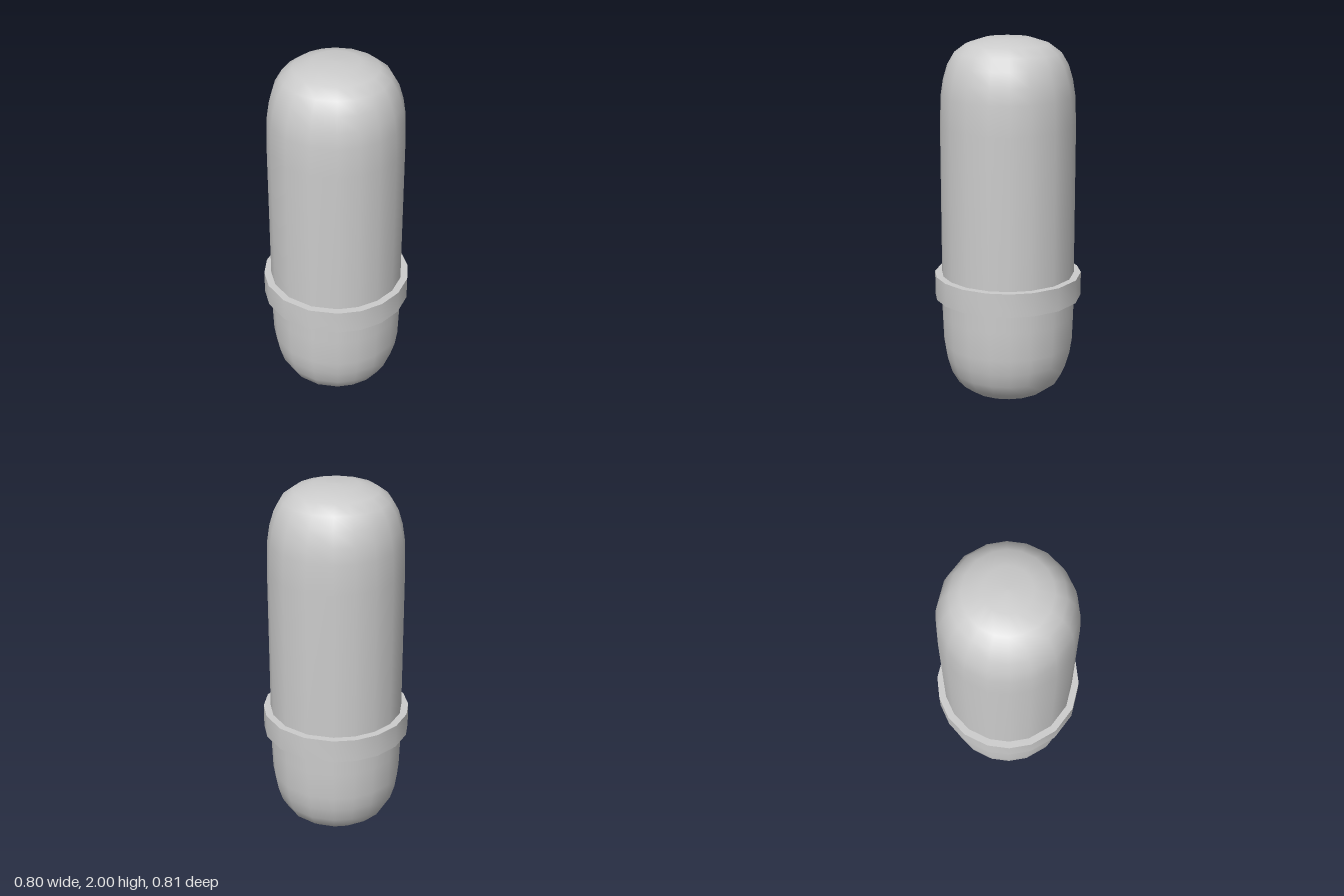
import * as THREE from 'three';
import { toCreasedNormals } from 'three/addons/utils/BufferGeometryUtils.js';

// Slightly uneven facet directions (degrees) over half a turn, repeated for the other half
const HALF_TURN = [-83, -60.3, -36.9, -14.2, 3.6, 21.8, 41.5, 61.8, 79.2];
const SIDES = HALF_TURN.length * 2;

// Lathe whose columns are turned to the uneven facet directions
function facetedLathe(points) {
  const geometry = new THREE.LatheGeometry(points.map(([r, y]) => new THREE.Vector2(r, y)), SIDES);
  const v = new THREE.Vector3();
  const up = new THREE.Vector3(0, 1, 0);
  for (let i = 0; i <= SIDES; i++) {
    const degrees = HALF_TURN[i % 9] + 180 * Math.floor(i / 9);
    const turn = THREE.MathUtils.degToRad(degrees) - (i / SIDES) * Math.PI * 2;
    for (let j = 0; j < points.length; j++) {
      const k = i * points.length + j;
      for (const attribute of [geometry.attributes.position, geometry.attributes.normal]) {
        v.fromBufferAttribute(attribute, k).applyAxisAngle(up, turn);
        attribute.setXYZ(k, v.x, v.y, v.z);
      }
    }
  }
  return geometry;
}

export function createModel() {
  const group = new THREE.Group();
  group.name = 'capsule';
  const material = new THREE.MeshStandardMaterial({ color: 0xcccccc });

  // Capsule body: rounded end profile, mirrored about the middle
  const lowerEnd = [
    [0, 0], [0.125, 0.003], [0.225, 0.035], [0.285, 0.08], [0.323, 0.145],
    [0.347, 0.225], [0.36, 0.31], [0.366, 0.47],
  ];
  const upperEnd = lowerEnd.map(([r, y]) => [r, 2 - y]).reverse();
  const body = new THREE.Mesh(facetedLathe([...lowerEnd, ...upperEnd]), material);
  body.name = 'body';
  group.add(body);

  // Square-edged band around the lower part
  const [inner, outer, bottom, top] = [0.35, 0.405, 0.575, 0.705];
  const ring = facetedLathe([[inner, top], [inner, bottom], [outer, bottom], [outer, top], [inner, top]]);
  const band = new THREE.Mesh(toCreasedNormals(ring, 0.6), material);
  band.name = 'band';
  group.add(band);

  return group;
}
